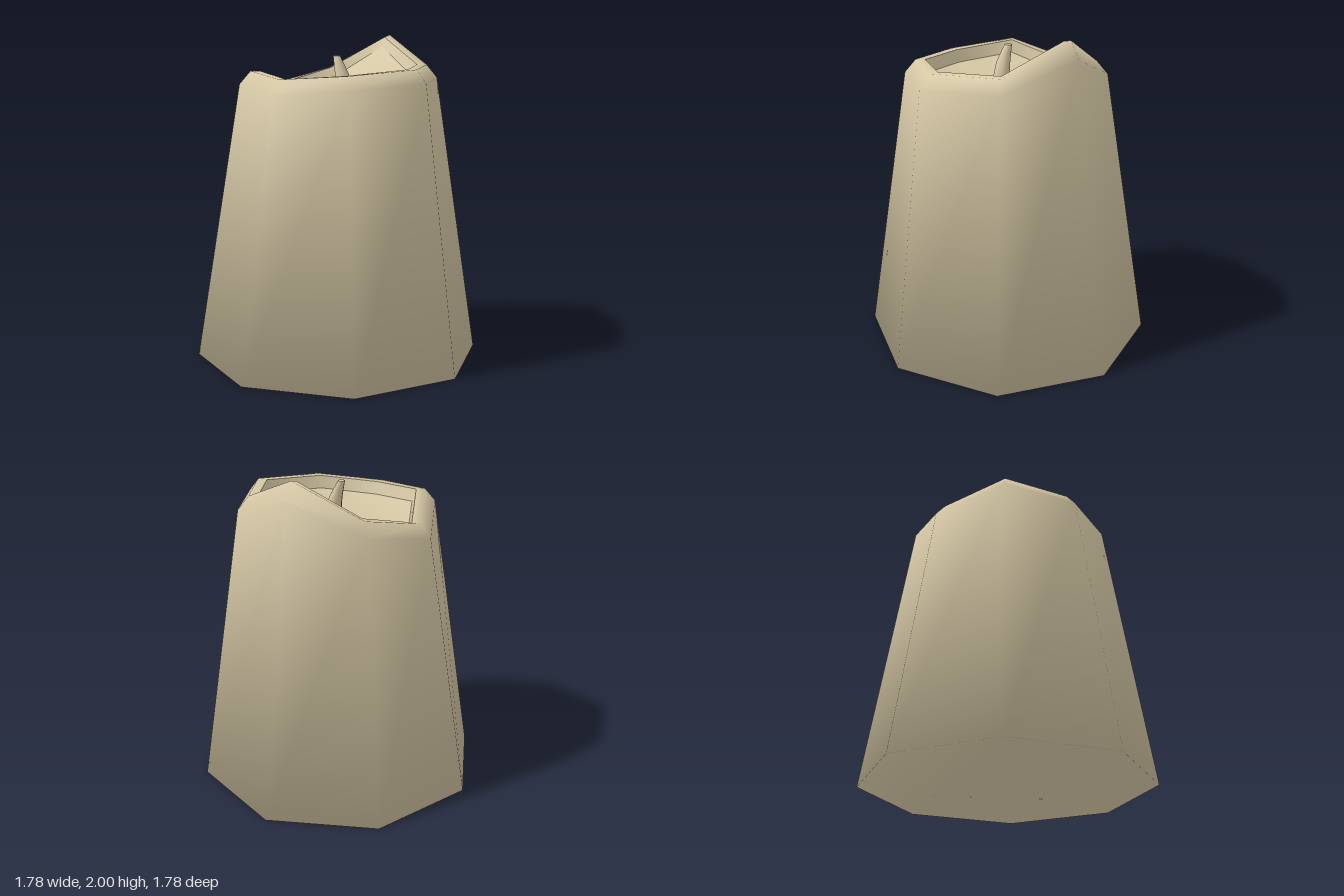
import * as THREE from 'three';

const SIDES = 8;
// Uneven melted rim: height at each corner, going from +x round through +z
const RIM = [2.0, 1.82, 1.805, 1.775, 1.75, 1.785, 1.69, 1.785];

// Ring of corners; the +z side bulges forward by `bulge`
function ring(radius, height, bulge = 0, z0 = 0) {
  return Array.from({ length: SIDES }, (_, i) => {
    const a = (i / SIDES) * Math.PI * 2;
    const s = Math.sin(a);
    const r = radius + bulge * (i === 2 ? 1 : i === 1 || i === 3 ? 0.3 : 0);
    return new THREE.Vector3(r * Math.cos(a), height(i), z0 + r * s);
  });
}

// Smooth normals weighted by corner angle, so small bevel faces round the big walls
function angleNormals(points, index) {
  const normals = points.map(() => new THREE.Vector3());
  for (let t = 0; t < index.length; t += 3) {
    const tri = index.slice(t, t + 3);
    const [a, b, c] = tri.map((k) => points[k]);
    const n = b.clone().sub(a).cross(c.clone().sub(a)).normalize();
    tri.forEach((k, j) => {
      const u = points[tri[(j + 1) % 3]].clone().sub(points[k]);
      const v = points[tri[(j + 2) % 3]].clone().sub(points[k]);
      normals[k].addScaledVector(n, u.angleTo(v));
    });
  }
  return normals.map((n) => n.normalize());
}

// Joins rings into a skin, with an optional flat bottom and an optional top centre
function skin(rings, { bottom = false, centre = null } = {}) {
  const points = rings.flat();
  const index = [];
  for (let k = 0; k < rings.length - 1; k++) {
    for (let i = 0; i < SIDES; i++) {
      const j = (i + 1) % SIDES;
      const a = k * SIDES, b = a + SIDES;
      index.push(a + j, a + i, b + i, a + j, b + i, b + j);
    }
  }
  if (bottom) for (let i = 1; i < SIDES - 1; i++) index.push(0, i, i + 1);
  if (centre) {
    const base = (rings.length - 1) * SIDES;
    points.push(centre);
    for (let i = 0; i < SIDES; i++) {
      index.push(base + ((i + 1) % SIDES), base + i, points.length - 1);
    }
  }
  const flat = (list) => new THREE.Float32BufferAttribute(list.flatMap((p) => p.toArray()), 3);
  const geometry = new THREE.BufferGeometry();
  geometry.setAttribute('position', flat(points));
  geometry.setAttribute('normal', flat(angleNormals(points, index)));
  geometry.setIndex(index);
  return geometry;
}

export function createModel() {
  const model = new THREE.Group();
  model.name = 'candle';
  const wax = new THREE.MeshStandardMaterial({ color: 0xd6c8a5 });
  const add = (name, geometry) => {
    const mesh = new THREE.Mesh(geometry, wax);
    mesh.name = name;
    model.add(mesh);
  };
  wax.name = 'wax';

  const innerRim = ring(0.48, (i) => RIM[i] - (i === 0 ? 0.015 : 0), 0.045);
  const poolEdge = ring(0.455, (i) => RIM[i] - 0.075, 0.035);

  // Tapered wax body with a softened shoulder
  add('waxBody', skin([
    ring(0.888, () => 0),
    ring(0.605, (i) => RIM[i] - (i === 0 ? 0.1 : 0.08), 0.05),
    ring(0.537, (i) => RIM[i], 0.053),
    innerRim,
  ], { bottom: true }));

  // Hollow melted pool
  add('poolWall', skin([innerRim, poolEdge]));
  add('poolFloor', skin([poolEdge], { centre: new THREE.Vector3(0, 1.6, 0.03) }));

  // Bent wick, leaning back at its tip
  const wick = [[0.058, 1.58, 0.05], [0.05, 1.68, 0.045], [0.042, 1.77, 0.03], [0.022, 1.875, -0.01]];
  add('wick', skin(wick.map(([r, y, z]) => ring(r, () => y, 0, z))));
  add('wickTip', skin([ring(0.022, () => 1.875, 0, -0.01)], { centre: new THREE.Vector3(0, 1.877, -0.01) }));

  return model;
}
